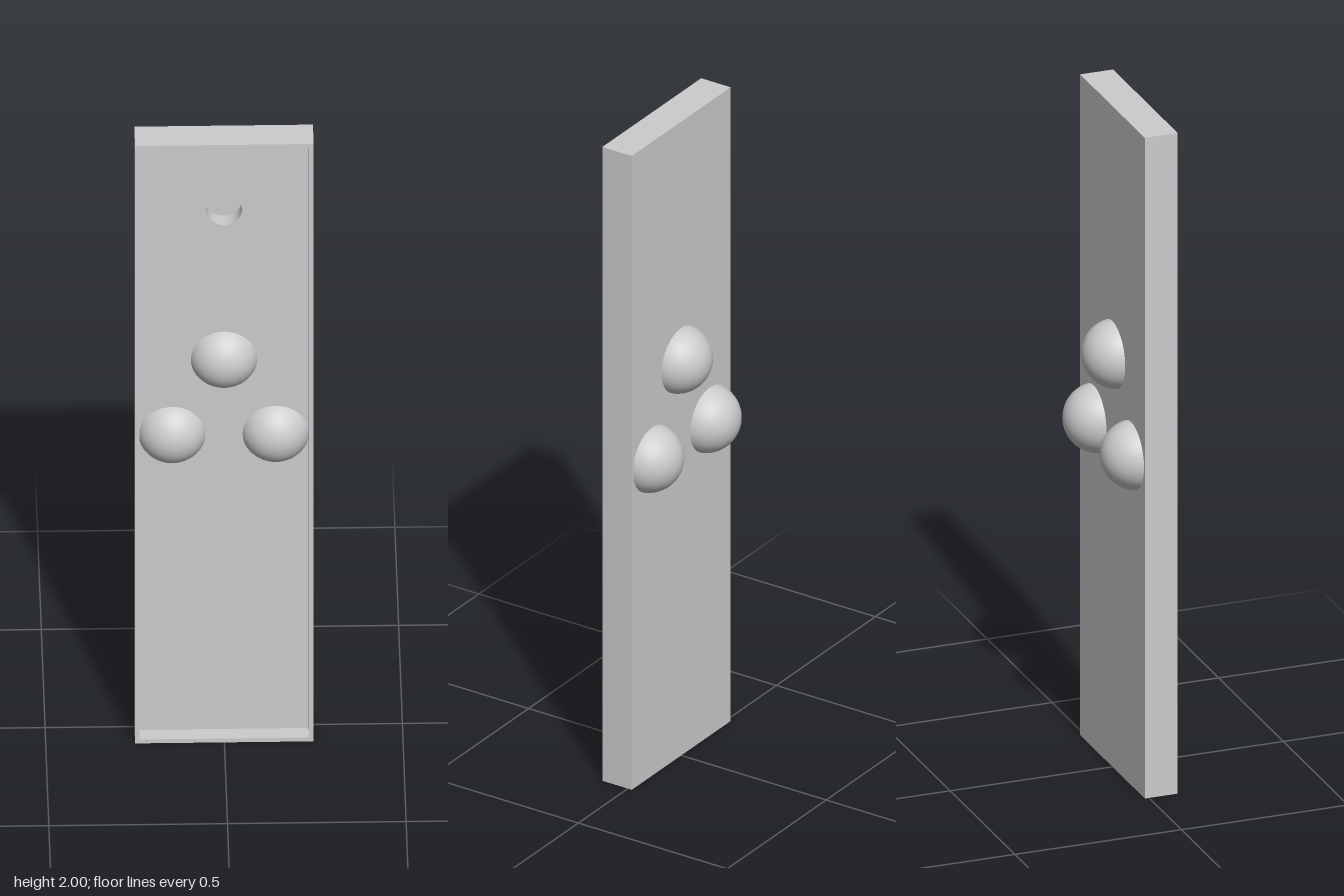
import * as THREE from 'three';

const W = 0.5, H = 2;                      // panel width and height
const BACK = -0.013, FLOOR = 0.037, FRONT = 0.086; // depth levels
const RIM = 0.013;                         // rim wall thickness

function rectPath(path, w, h) {
  path.moveTo(-w / 2, -h / 2);
  path.lineTo(w / 2, -h / 2);
  path.lineTo(w / 2, h / 2);
  path.lineTo(-w / 2, h / 2);
  path.closePath();
  return path;
}

export function createModel() {
  const group = new THREE.Group();
  const material = new THREE.MeshStandardMaterial({ color: 0xcccccc });

  function add(name, geometry, x, y, z) {
    const mesh = new THREE.Mesh(geometry, material);
    mesh.name = name;
    mesh.position.set(x, y, z);
    group.add(mesh);
  }
  const extrude = (shape, depth) =>
    new THREE.ExtrudeGeometry(shape, { depth, bevelEnabled: false, curveSegments: 32 });

  // Panel with a round blind hole near the top
  const panel = rectPath(new THREE.Shape(), W, H);
  panel.holes.push(new THREE.Path().absarc(0, 0.75, 0.05, 0, Math.PI * 2, true));
  const skin = 0.002;
  add('panel', extrude(panel, FLOOR - BACK - skin), 0, H / 2, BACK + skin);

  // Thin skin closing the hole at the back
  add('backSkin', new THREE.BoxGeometry(W, H, skin), 0, H / 2, BACK + skin / 2);

  // Raised rim around the front
  const rim = rectPath(new THREE.Shape(), W, H);
  rim.holes.push(rectPath(new THREE.Path(), W - 2 * RIM, H - 2 * RIM));
  add('rim', extrude(rim, FRONT - FLOOR), 0, H / 2, FLOOR);

  // Three balls passing through the panel
  const ball = new THREE.SphereGeometry(0.1, 48, 32);
  add('topBall', ball, 0, 1.25, 0);
  add('leftBall', ball, 0.145, 1, 0);
  add('rightBall', ball, -0.145, 1, 0);

  return group;
}
